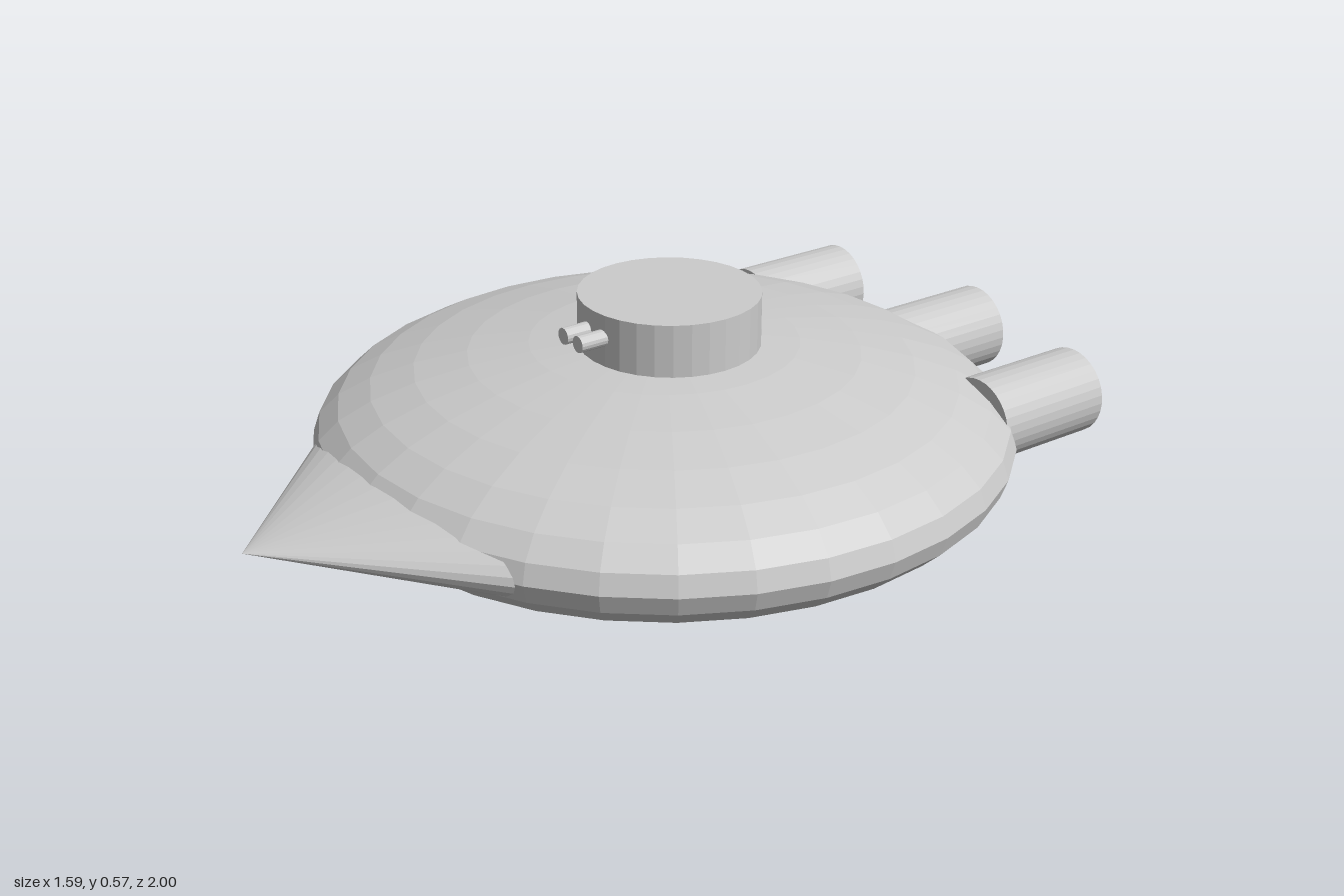
import * as THREE from 'three';

const material = new THREE.MeshStandardMaterial({ color: 0xcccccc, flatShading: true });

export function createModel() {
  const model = new THREE.Group();

  const add = (name, geometry, x, y, z) => {
    const mesh = new THREE.Mesh(geometry, material);
    mesh.name = name;
    mesh.position.set(x, y, z);
    model.add(mesh);
    return mesh;
  };

  // Cylinder lying along z between two depths
  const tube = (name, radius, x, y, zBack, zFront, sides) => {
    const geometry = new THREE.CylinderGeometry(radius, radius, zFront - zBack, sides);
    return add(name, geometry.rotateX(Math.PI / 2), x, y, (zBack + zFront) / 2);
  };

  // Flattened saucer hull
  const hull = new THREE.SphereGeometry(1, 32, 16).scale(0.793, 0.231, 0.797);
  add('hull', hull, -0.003, 0.232, -0.055);

  // Wide flattened nose cone; its tip leans slightly off the base axis
  const nose = new THREE.ConeGeometry(1, 0.38, 32).rotateX(Math.PI / 2).scale(0.41, 0.09, 1);
  const p = nose.attributes.position;
  for (let i = 0; i < p.count; i++) {
    const t = (p.getZ(i) + 0.19) / 0.38;
    p.setX(i, p.getX(i) - 0.02 * t);
    p.setY(i, p.getY(i) + 0.005 * t);
  }
  add('nose', nose, 0.02, 0.23, 0.81);

  // Turret with twin guns
  add('turret', new THREE.CylinderGeometry(0.205, 0.205, 0.17, 32), 0.023, 0.487, -0.05);
  for (const x of [-0.003, 0.053]) tube('gun', 0.019, x, 0.518, 0.1, 0.215, 16);

  // Three rear engines
  for (const [x, zBack] of [[-0.4, -0.91], [0.02, -1], [0.435, -0.91]]) {
    tube('engine', 0.1, x, 0.26, zBack, zBack + 0.3, 32);
  }
  return model;
}
